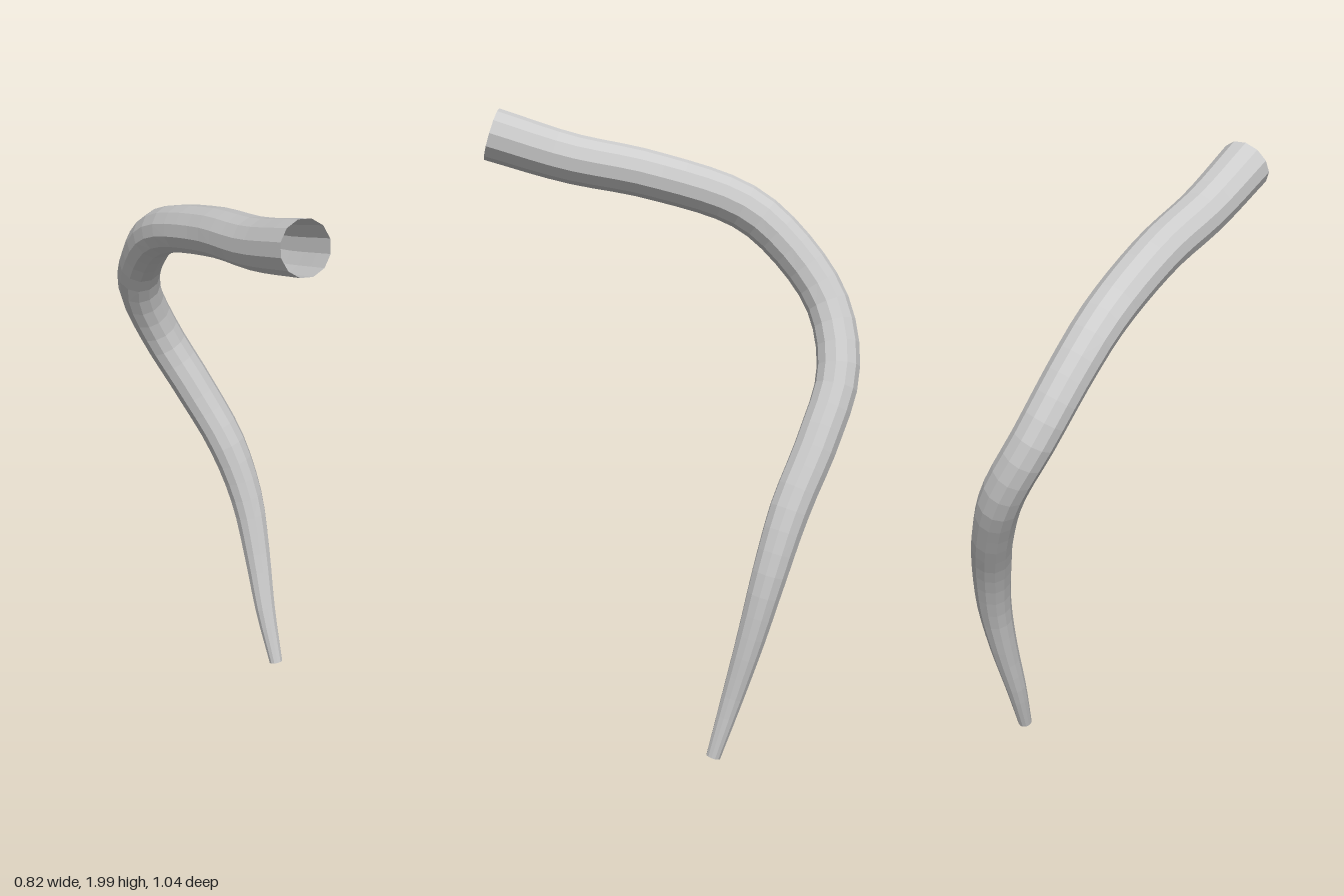
import * as THREE from 'three';

// Centre line stations from the thin tip to the wide open end: x, y, z, radius
const STATIONS = [
  [0.132, 0.01, -0.325, 0.023],
  [0.085, 0.2, -0.36, 0.035],
  [0.045, 0.4, -0.402, 0.046],
  [0.0, 0.6, -0.434, 0.056],
  [-0.075, 0.8, -0.448, 0.064],
  [-0.19, 1.0, -0.455, 0.067],
  [-0.3, 1.2, -0.435, 0.068],
  [-0.345, 1.4, -0.345, 0.069],
  [-0.285, 1.59, -0.215, 0.071],
  [-0.2, 1.7, -0.105, 0.073],
  [0.005, 1.795, 0.1, 0.076],
  [0.175, 1.845, 0.285, 0.079],
  [0.342, 1.918, 0.462, 0.084],
];
const LENGTH_SEGMENTS = 40;
const SIDES = 12;

// Tube along the curve whose rings are scaled to the local radius
function taperedTube(stations) {
  const curve = new THREE.CatmullRomCurve3(
    stations.map(([x, y, z]) => new THREE.Vector3(x, y, z)));
  const geometry = new THREE.TubeGeometry(curve, LENGTH_SEGMENTS, 1, SIDES, false);
  const position = geometry.attributes.position;
  const v = new THREE.Vector3();
  for (let i = 0; i <= LENGTH_SEGMENTS; i++) {
    const u = i / LENGTH_SEGMENTS;
    const centre = curve.getPointAt(u);
    const s = curve.getUtoTmapping(u) * (stations.length - 1);
    const k = Math.min(Math.floor(s), stations.length - 2);
    const radius = THREE.MathUtils.lerp(stations[k][3], stations[k + 1][3], s - k);
    for (let j = 0; j <= SIDES; j++) {
      const n = i * (SIDES + 1) + j;
      v.fromBufferAttribute(position, n).sub(centre).multiplyScalar(radius).add(centre);
      position.setXYZ(n, v.x, v.y, v.z);
    }
  }
  const faceted = geometry.toNonIndexed();
  faceted.computeVertexNormals();
  return faceted;
}

export function createModel() {
  const group = new THREE.Group();
  group.name = 'curvedTube';

  const grey = new THREE.MeshStandardMaterial({
    color: 0xcccccc, flatShading: true, side: THREE.DoubleSide,
  });
  grey.name = 'light grey';

  // Hollow tapered tube, open at both ends
  const tube = new THREE.Mesh(taperedTube(STATIONS), grey);
  tube.name = 'taperedTube';
  group.add(tube);
  return group;
}
